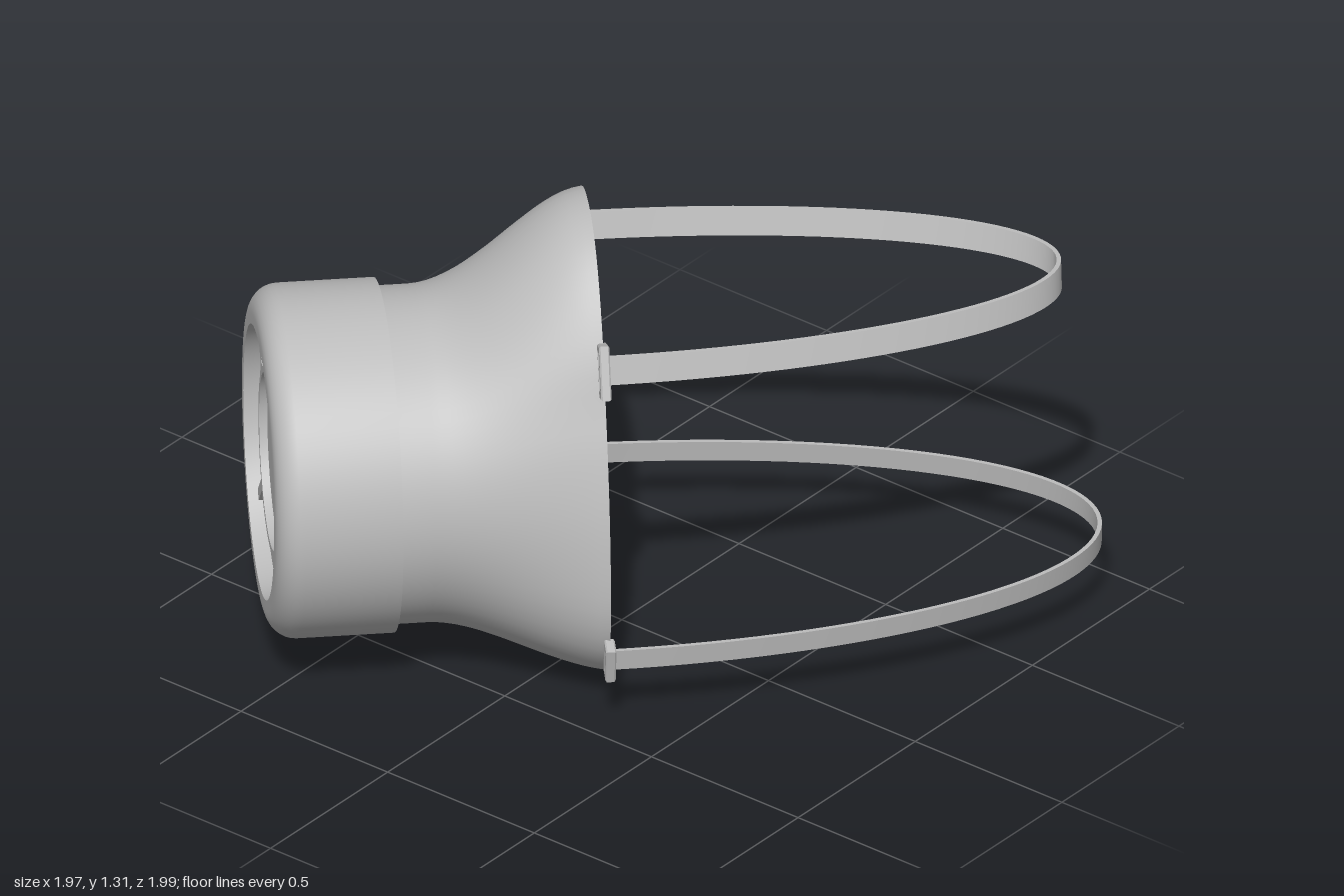
import * as THREE from 'three';
import { toCreasedNormals } from 'three/addons/utils/BufferGeometryUtils.js';

const N = 80;          // points around the mask shell
const CX = 0.012, CY = 0.567;  // axis of the filter
const EDGE = 0.09;     // plane of the face opening

// Skin closed rings of Vector3 points, one after another
function loft(rings, crease = 0.6) {
  const n = rings[0].length, pos = [], index = [];
  rings.forEach(r => r.forEach(p => pos.push(p.x, p.y, p.z)));
  for (let j = 0; j < rings.length - 1; j++) {
    for (let i = 0; i < n; i++) {
      const a = j * n + i, b = j * n + (i + 1) % n;
      index.push(a, a + n, b + n, a, b + n, b);
    }
  }
  const g = new THREE.BufferGeometry();
  g.setAttribute('position', new THREE.Float32BufferAttribute(pos, 3));
  g.setIndex(index);
  return toCreasedNormals(g, crease);
}

// Egg-shaped face opening, counter-clockwise from the top
function eggOutline() {
  const half = [[0.14, 1.283], [0.25, 1.2], [0.35, 1.06], [0.415, 0.9], [0.455, 0.8], [0.51, 0.6],
    [0.533, 0.4], [0.527, 0.3], [0.49, 0.2], [0.395, 0.1], [0.25, 0.035]];
  const pts = [[0, 1.31], ...half.map(([x, y]) => [-x, y]), [0, 0.002], ...half.slice().reverse()];
  const curve = new THREE.CatmullRomCurve3(pts.map(([x, y]) => new THREE.Vector3(x + CX, y, 0)), true);
  return curve.getSpacedPoints(N).slice(0, N);
}

export function createModel() {
  const grey = new THREE.MeshStandardMaterial({ color: 0xbcbcbc, side: THREE.DoubleSide });
  grey.name = 'grey';
  const model = new THREE.Group();
  model.name = 'respirator';
  const body = new THREE.Group();
  body.name = 'maskAssembly';
  body.rotation.y = -Math.PI / 4;
  model.add(body);
  const add = (name, geometry, parent = body) => {
    const m = new THREE.Mesh(geometry, grey);
    m.name = name;
    parent.add(m);
    return m;
  };

  // Face piece: round neck blending into the egg-shaped opening, with an inner wall
  const egg = eggOutline();
  const shellRing = (z, radius, scale) => {
    const t = THREE.MathUtils.clamp((0.55 - z) / (0.55 - EDGE), 0, 1);
    const sx = Math.pow(t, 1.6), sy = t * t * (3 - 2 * t);
    return egg.map((e, i) => {
      const a = Math.PI / 2 + i / N * Math.PI * 2;
      const x = THREE.MathUtils.lerp(Math.cos(a) * radius, e.x - CX, sx);
      const y = THREE.MathUtils.lerp(Math.sin(a) * radius, e.y - CY, sy);
      return new THREE.Vector3(CX + x * scale, CY + y * scale, z);
    });
  };
  const rings = [shellRing(0.66, 0.452, 1)];
  const steps = 18;
  for (let k = 0; k <= steps; k++) rings.push(shellRing(0.55 + (EDGE - 0.55) * k / steps, 0.452, 1));
  for (let k = steps; k >= 0; k--) rings.push(shellRing(0.55 + (EDGE - 0.55) * k / steps, 0.452, 0.98));
  rings.push(shellRing(0.66, 0.452, 0.98));
  add('facePiece', loft(rings));

  // Filter housing: drum with rounded front edge and recessed face
  const filter = new THREE.Group();
  filter.name = 'filter';
  filter.position.set(CX, CY, 0);
  body.add(filter);
  const profile = [[0.44, 0.64], [0.475, 0.64], [0.475, 0.9]];
  for (let k = 1; k <= 8; k++) {
    const a = k / 8 * Math.PI / 2;
    profile.push([0.4 + 0.075 * Math.cos(a), 0.9 + 0.075 * Math.sin(a)]);
  }
  profile.push([0.37, 0.975], [0.37, 0.93], [0.258, 0.93], [0.258, 0.947], [0.24, 0.947], [0.24, 0.925], [0, 0.925]);
  const lathe = pts => toCreasedNormals(
    new THREE.LatheGeometry(pts.map(([r, z]) => new THREE.Vector2(r, z)), 72).rotateX(Math.PI / 2), 0.6);
  add('filterHousing', lathe(profile), filter);
  add('filterInnerWall', lathe([[0, 0.78], [0.458, 0.78], [0.458, 0.64], [0.443, 0.64]]), filter);

  // Four diagonal spokes on the filter face
  for (let k = 0; k < 4; k++) {
    const a = Math.PI / 4 + k * Math.PI / 2;
    const spoke = add('filterSpoke', new THREE.BoxGeometry(0.118, 0.03, 0.02), filter);
    spoke.position.set(Math.cos(a) * 0.313, Math.sin(a) * 0.313, 0.937);
    spoke.rotation.z = a;
  }

  // Head straps: half-ellipse bands, leaning slightly sideways
  const strap = (cx, halfWidth, reach, y0, y1, lean) => {
    const sections = [];
    for (let k = 0; k <= 64; k++) {
      const a = k / 64 * Math.PI, c = Math.cos(a), s = Math.sin(a);
      const n = new THREE.Vector2(c / halfWidth, -s / reach).normalize().multiplyScalar(0.006);
      const x = cx + halfWidth * c, z = EDGE - reach * s;
      const corner = (side, y, dx) => new THREE.Vector3(x + n.x * side + dx, y, z + n.y * side);
      sections.push([corner(1, y0, -lean), corner(1, y1, lean), corner(-1, y1, lean), corner(-1, y0, -lean)]);
    }
    return loft(sections);
  };
  add('upperStrap', strap(0.018, 0.375, 1.26, 0.985, 1.058, -0.01));
  add('lowerStrap', strap(-0.005, 0.53, 1.37, 0.17, 0.232, 0.004));

  // Buckles: small slotted frames on both sides of the rim
  const buckle = (width, height) => {
    const rect = (Type, w, h) => new Type([[-w, -h], [w, -h], [w, h], [-w, h]]
      .map(([x, y]) => new THREE.Vector2(x / 2, y / 2)));
    const shape = rect(THREE.Shape, width, height);
    shape.holes.push(rect(THREE.Path, width - 0.032, height - 0.035));
    return new THREE.ExtrudeGeometry(shape, {
      depth: 0.02, bevelEnabled: true, bevelSize: 0.004, bevelThickness: 0.004, bevelSegments: 1 });
  };
  for (const side of [-1, 1]) {
    const upper = add('upperBuckle', buckle(0.06, 0.14));
    upper.position.set(CX + side * 0.385, 1.02, EDGE - 0.008);
    upper.rotation.z = side * 0.4;
    const lower = add('lowerBuckle', buckle(0.045, 0.1));
    lower.position.set(CX + side * 0.525, 0.205, EDGE - 0.008);
    lower.rotation.z = -side * 0.2;
  }
  return model;
}
